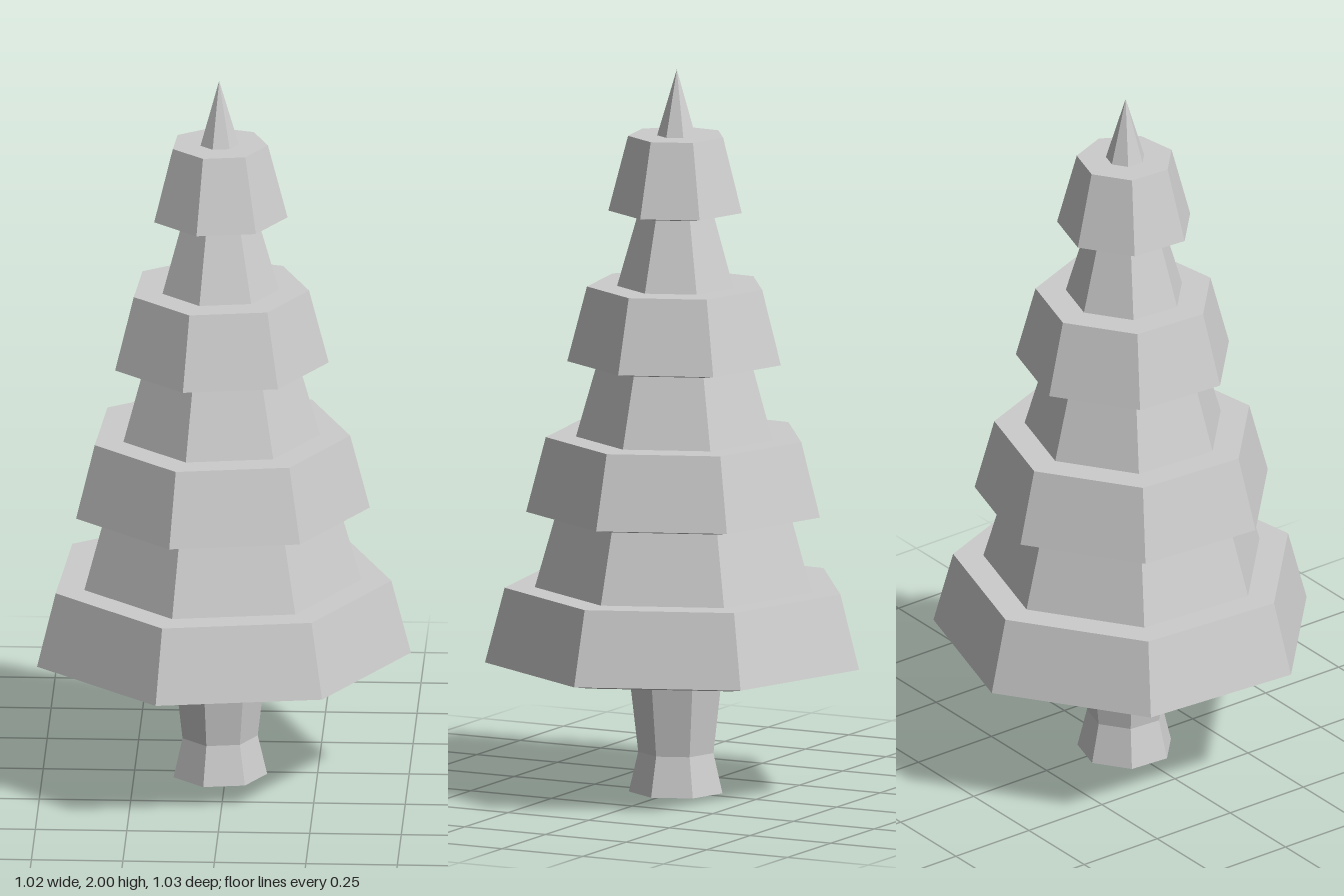
import * as THREE from 'three';

const SIDES = 7;
const START = THREE.MathUtils.degToRad(86.1);

export function createModel() {
  const tree = new THREE.Group();
  tree.name = 'pineTree';
  const material = new THREE.MeshStandardMaterial({ color: 0xcccccc, flatShading: true });

  // Seven-sided faceted part from [radius, height] points, bottom to top
  function addPart(name, profile) {
    const points = profile.map(([r, y]) => new THREE.Vector2(r, y));
    const mesh = new THREE.Mesh(new THREE.LatheGeometry(points, SIDES, START), material);
    mesh.name = name;
    // The odd-sided plan is off its bounding-box centre
    mesh.position.set(-0.019, 0, 0.006);
    tree.add(mesh);
  }

  // Trunk, pinched above its foot
  addPart('trunk', [[0, 0], [0.132, 0], [0.106, 0.11], [0.134, 0.353]]);

  // Each tier: sloped underside, skirt, ledge, then the narrower core above it
  const tierStep = 0.4155, tierShrink = 0.113;
  for (let i = 0; i < 4; i++) {
    const y = 0.366 + i * tierStep;
    const r = 0.527 - i * tierShrink;
    const lip = y - 0.015;
    const profile = i === 0
      ? [[0, lip], [0.45, lip]]
      : [[r - 0.08, lip]];
    profile.push([r, y], [r - 0.054, y + 0.206]);
    if (i < 3) {
      profile.push([r - 0.137, y + 0.206], [r - tierShrink - 0.08, lip + tierStep]);
    } else {
      profile.push([0.054, y + 0.206]);
    }
    addPart('branchTier' + (i + 1), profile);
  }

  // Pointed tip
  addPart('treeTip', [[0.054, 1.8185], [0, 2]]);

  return tree;
}
